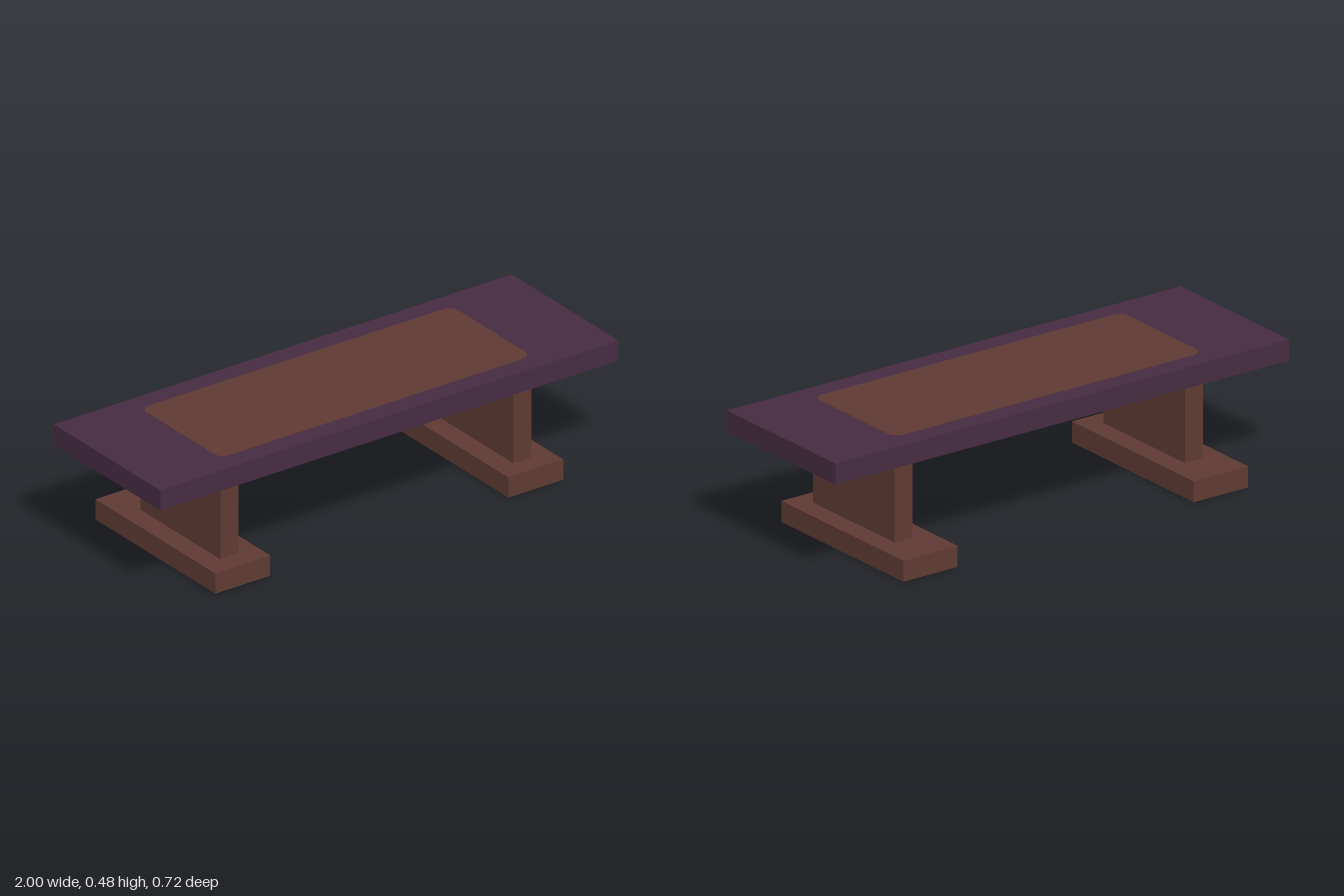
import * as THREE from 'three';

const plum = new THREE.MeshStandardMaterial({ color: 0x472c42 });
plum.name = 'plum wood';
const brown = new THREE.MeshStandardMaterial({ color: 0x5f3b33 });
brown.name = 'brown wood';

// Box given by its min and max corners
function box(name, material, [x0, y0, z0], [x1, y1, z1]) {
  const mesh = new THREE.Mesh(new THREE.BoxGeometry(x1 - x0, y1 - y0, z1 - z0), material);
  mesh.position.set((x0 + x1) / 2, (y0 + y1) / 2, (z0 + z1) / 2);
  mesh.name = name;
  return mesh;
}

// Rectangle with rounded corners, centred on the origin
function roundedRect(w, h, r) {
  const s = new THREE.Shape();
  const x = w / 2 - r, y = h / 2 - r;
  s.absarc(x, y, r, 0, Math.PI / 2);
  s.absarc(-x, y, r, Math.PI / 2, Math.PI);
  s.absarc(-x, -y, r, Math.PI, Math.PI * 1.5);
  s.absarc(x, -y, r, Math.PI * 1.5, Math.PI * 2);
  s.closePath();
  return s;
}

export function createModel() {
  const bench = new THREE.Group();
  bench.name = 'bench';

  // Seat slab, set slightly towards the front
  bench.add(box('seat', plum, [-1, 0.4, -0.28], [1, 0.48, 0.36]));

  // Rounded inlay showing on the top and the underside of the seat
  const inlayGeometry = new THREE.ExtrudeGeometry(roundedRect(1.36, 0.48, 0.04), {
    depth: 0.002, bevelEnabled: false, curveSegments: 6,
  });
  inlayGeometry.rotateX(-Math.PI / 2);
  for (const [name, y] of [['topInlay', 0.479], ['undersideInlay', 0.399]]) {
    const inlay = new THREE.Mesh(inlayGeometry, brown);
    inlay.position.set(0, y, 0.04);
    inlay.name = name;
    bench.add(inlay);
  }

  // Panel leg on a wide foot at each end
  for (const [side, s] of [['left', 1], ['right', -1]]) {
    const support = new THREE.Group();
    support.name = side + 'Support';
    const leg = box('leg', brown, [-0.04, 0.08, -0.2], [0.04, 0.4, 0.28]);
    const foot = box('foot', brown, [-0.12, 0, -0.36], [0.12, 0.08, 0.36]);
    support.add(leg, foot);
    support.position.x = 0.64 * s;
    bench.add(support);
  }
  return bench;
}
